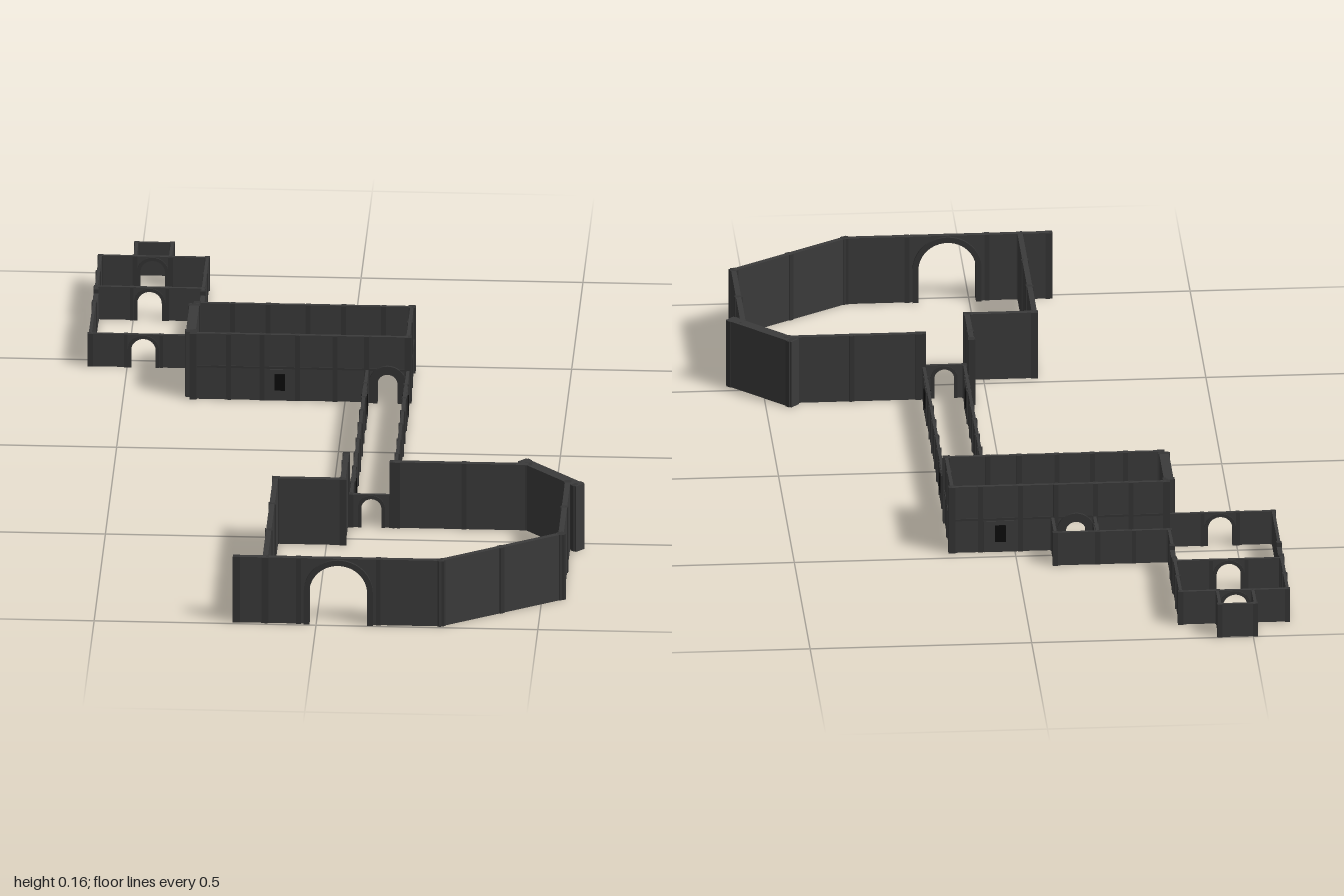
import * as THREE from 'three';

const LOW = 0.08, TALL = 0.16;

export function createModel() {
  const model = new THREE.Group();
  const stone = new THREE.MeshStandardMaterial({ color: 0x3b3b3b });
  stone.name = 'wall stone';
  const trim = new THREE.MeshStandardMaterial({ color: 0x343434 });
  trim.name = 'post stone';
  const dark = new THREE.MeshStandardMaterial({ color: 0x0c0c0c });
  dark.name = 'window dark';

  const add = (parent, geo, mat, name, x = 0, y = 0, z = 0) => {
    const m = new THREE.Mesh(geo, mat);
    m.position.set(x, y, z);
    m.name = name;
    parent.add(m);
    return m;
  };
  const box = (w, h, d) => new THREE.BoxGeometry(w, h, d);

  // Wall from a to b; doors are arched notches, windows dark plates, ribs are posts along it
  function wall(name, a, b, h, { t = h > LOW ? 0.012 : 0.007, doors = [], windows = [], ribs = [], rail = false, ends = true } = {}) {
    const g = new THREE.Group();
    g.name = name;
    const dx = b[0] - a[0], dz = b[1] - a[1], len = Math.hypot(dx, dz);
    g.position.set(a[0], 0, a[1]);
    g.rotation.y = -Math.atan2(dz, dx);
    const s = new THREE.Shape();
    s.moveTo(0, 0);
    for (const [at, w, top] of doors) {
      const r = w / 2;
      s.lineTo(at - r, 0);
      s.lineTo(at - r, top - r);
      s.absarc(at, top - r, r, Math.PI, 0, true);
      s.lineTo(at + r, 0);
    }
    s.lineTo(len, 0);
    s.lineTo(len, h);
    s.lineTo(0, h);
    s.closePath();
    const geo = new THREE.ExtrudeGeometry(s, { depth: t, bevelEnabled: false, curveSegments: 12 });
    add(g, geo.translate(0, 0, -t / 2), stone, 'wallPanel');

    const pw = h > LOW ? 0.016 : 0.012;
    for (const x of ends ? [0, len] : []) add(g, box(pw, h, pw), trim, 'endPost', x, h / 2, 0);
    for (const x of ribs) add(g, box(pw * 0.7, h, t + 0.005), trim, 'rib', x, h / 2, 0);
    if (rail) add(g, box(len, 0.005, t + 0.004), trim, 'rail', len / 2, LOW, 0);
    for (const x of windows) {
      add(g, box(0.075, 0.075, t + 0.003), stone, 'windowPanel', x, 0.0375, 0);
      add(g, box(0.024, 0.04, t + 0.007), dark, 'window', x, 0.045, 0);
    }
    // Raised frame around each doorway
    for (const [at, w, top] of doors) {
      const f = new THREE.Shape(), r = w / 2, o = r + Math.min(0.02, h - top - 0.002);
      f.moveTo(at - o, 0);
      f.lineTo(at - o, top - r);
      f.absarc(at, top - r, o, Math.PI, 0, true);
      f.lineTo(at + o, 0);
      f.lineTo(at + r, 0);
      f.lineTo(at + r, top - r);
      f.absarc(at, top - r, r, 0, Math.PI, false);
      f.lineTo(at - r, 0);
      f.closePath();
      const d = t + (h > LOW ? 0.012 : 0.005);
      const fg = new THREE.ExtrudeGeometry(f, { depth: d, bevelEnabled: false, curveSegments: 12 });
      add(g, fg.translate(0, 0, -d / 2), trim, 'doorFrame');
    }
    model.add(g);
    return g;
  }

  // Great courtyard
  wall('courtFrontWall', [-0.18, 0.986], [0.28, 0.986], TALL, { doors: [[0.23, 0.13, 0.145]], ribs: [0.065, 0.14, 0.32] });
  wall('courtSlantWall', [0.28, 0.986], [0.543, 0.82], TALL, { ribs: [0.155] });
  wall('courtLeftWall', [0.543, 0.82], [0.543, 0.52], TALL, { ribs: [0.155] });
  wall('courtBackWall', [0.145, 0.425], [0.45, 0.425], TALL, { ribs: [0.01, 0.16] });
  wall('courtStepSide', [0.037, 0.385], [0.037, 0.53], TALL, { ribs: [0.045] });
  wall('courtStepBack', [0.037, 0.53], [-0.115, 0.53], TALL);
  wall('courtRightWall', [-0.115, 0.53], [-0.115, 0.986], TALL, { ribs: [0.15, 0.3] });
  // Heavy closed gates
  wall('cornerGate', [0.434, 0.402], [0.572, 0.54], TALL, { t: 0.026, ends: false, ribs: [0.01, 0.185] });
  wall('hallGate', [-0.348, -0.46], [-0.348, -0.298], TALL, { t: 0.022, ends: false, ribs: [0.008, 0.154] });

  // Corridor
  for (const x of [0.05, 0.142])
    wall('corridorWall', [x, -0.29], [x, 0.425], LOW, { windows: [0.12, 0.605], ribs: [0.08, 0.16, 0.235, 0.31, 0.4, 0.48, 0.56, 0.65] });
  wall('corridorDoorway', [0.05, 0.428], [0.142, 0.428], LOW, { doors: [[0.046, 0.045, 0.07]] });

  // Two-tier hall
  wall('hallFrontWall', [-0.342, -0.292], [0.142, -0.292], TALL, { t: 0.008, rail: true, windows: [0.195], doors: [[0.438, 0.045, 0.07]], ribs: [0.08, 0.155, 0.235, 0.32, 0.39] });
  wall('hallLeftWall', [0.142, -0.292], [0.142, -0.466], TALL, { t: 0.008, rail: true, ribs: [0.087] });
  wall('hallBackWall', [-0.342, -0.466], [0.142, -0.466], TALL, { t: 0.008, rail: true, windows: [0.375], doors: [[0.205, 0.045, 0.07]], ribs: [0.08, 0.16, 0.25, 0.33, 0.42] });

  // Low rooms at the back
  wall('antechamberFront', [-0.583, -0.466], [-0.342, -0.466], LOW, { doors: [[0.12, 0.055, 0.07]], ribs: [0.08, 0.16] });
  wall('antechamberBack', [-0.342, -0.555], [-0.085, -0.555], LOW, { ribs: [0.08, 0.162] });
  wall('cellWall', [-0.18, -0.555], [-0.18, -0.466], LOW, { doors: [[0.045, 0.045, 0.07]] });
  wall('cellWall', [-0.085, -0.555], [-0.085, -0.466], LOW);
  wall('roomPartition', [-0.583, -0.737], [-0.342, -0.737], LOW, { doors: [[0.12, 0.055, 0.07]], ribs: [0.08, 0.16] });
  wall('roomBack', [-0.583, -0.915], [-0.342, -0.915], LOW, { doors: [[0.118, 0.055, 0.07]], ribs: [0.078, 0.158] });
  for (const [x, front] of [[-0.583, -0.466], [-0.342, -0.555]]) {
    wall('roomSideBack', [x, -0.915], [x, -0.722], LOW, { ribs: [0.09] });
    wall('roomSideFront', [x, -0.648], [x, front], LOW);
    // Shorter infill panel between the side walls
    add(model, box(0.011, 0.07, 0.074), stone, 'sidePanel', x, 0.035, -0.685);
  }
  // Alcove
  for (const x of [-0.505, -0.425]) wall('alcoveSide', [x, -0.915], [x, -0.994], LOW);
  wall('alcoveBack', [-0.505, -0.994], [-0.425, -0.994], LOW);

  return model;
}
